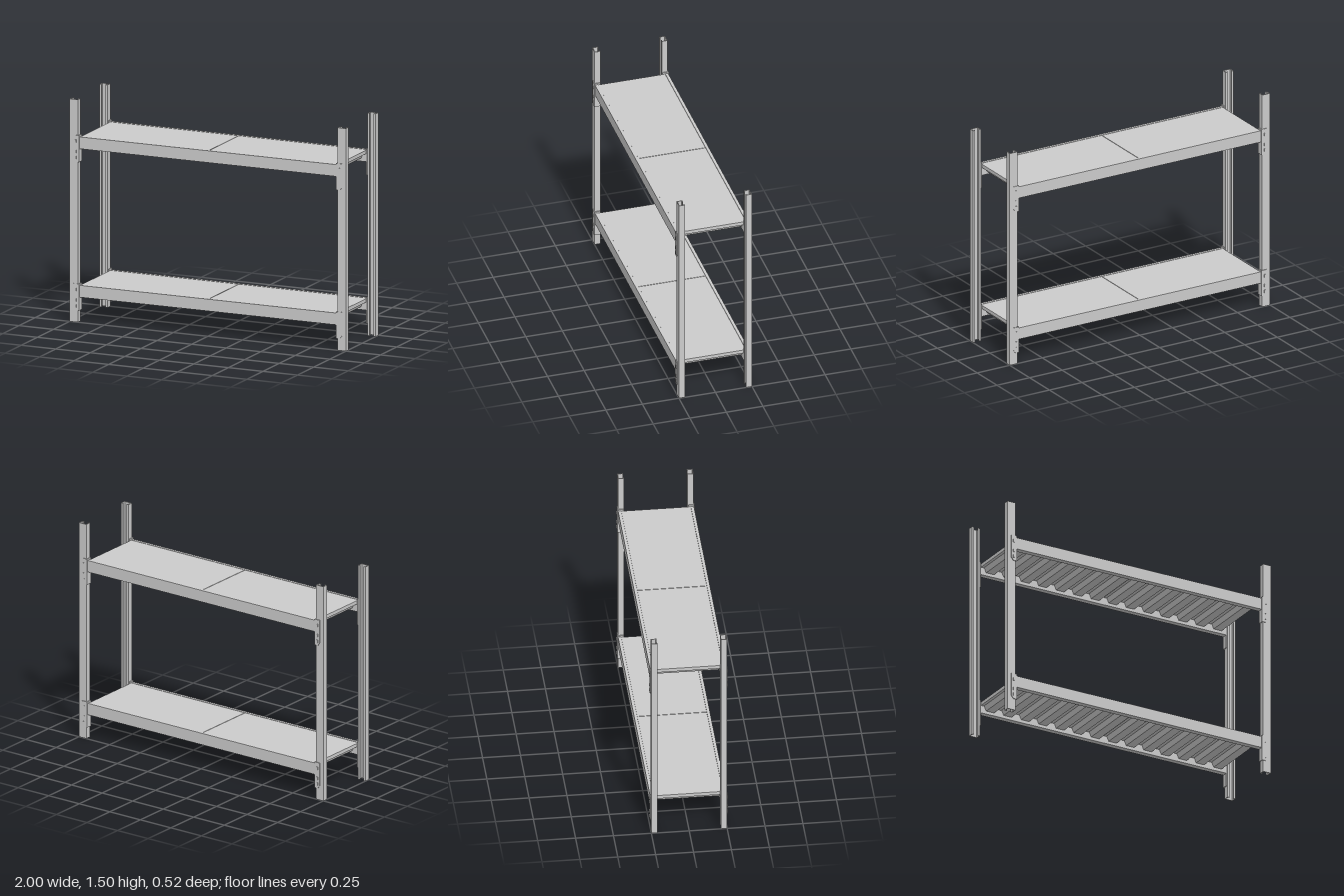
import * as THREE from 'three';

const material = new THREE.MeshStandardMaterial({ color: 0xcccccc, flatShading: true });

function add(parent, name, geometry) {
  const mesh = new THREE.Mesh(geometry, material);
  mesh.name = name;
  parent.add(mesh);
  return mesh;
}

// Box given by its lower and upper limits on each axis
function box(parent, name, [x0, x1], [y0, y1], [z0, z1]) {
  const mesh = add(parent, name, new THREE.BoxGeometry(x1 - x0, y1 - y0, z1 - z0));
  mesh.position.set((x0 + x1) / 2, (y0 + y1) / 2, (z0 + z1) / 2);
  return mesh;
}

function extrude(points, depth) {
  const shape = new THREE.Shape(points.map(([x, y]) => new THREE.Vector2(x, y)));
  return new THREE.ExtrudeGeometry(shape, { depth, bevelEnabled: false });
}

// Lipped channel upright, open towards the middle of the rack
function makePost(sx, sz) {
  const t = 0.005, lip = 0.016;
  const x0 = 0.94, x1 = 1, z0 = 0.21, z1 = 0.25;
  let outline = [
    [x0, z1], [x0, z0], [x0 + lip, z0], [x0 + lip, z0 + t], [x0 + t, z0 + t], [x0 + t, z1 - t],
    [x1 - t, z1 - t], [x1 - t, z0 + t], [x1 - lip, z0 + t], [x1 - lip, z0], [x1, z0], [x1, z1],
  ].map(([x, z]) => [x * sx, -z * sz]);
  return extrude(outline, 1.5).rotateX(-Math.PI / 2);
}

// Angle bracket that hooks a beam end onto the face of an upright
function addBracket(parent, sx, sz, top) {
  const bracket = new THREE.Group();
  bracket.name = 'beamBracket';
  const spanX = (a, b) => (sx > 0 ? [a, b] : [-b, -a]);
  const spanZ = (a, b) => (sz > 0 ? [a, b] : [-b, -a]);
  const low = top - 0.17, high = top + 0.01;
  // Face plate with a clipped lower corner
  const plate = add(bracket, 'bracketPlate', extrude(
    [[0.93, low], [0.958, low], [0.972, low + 0.02], [0.972, high], [0.93, high]]
      .map(([x, y]) => [x * sx, y]), 0.005));
  plate.position.z = sz > 0 ? 0.25 : -0.255;
  box(bracket, 'bracketFlange', spanX(0.93, 0.936), [low, high], spanZ(0.212, 0.252));
  for (const y of [0.03, 0.1, 0.14])
    box(bracket, 'bracketHook', spanX(0.95, 0.96), [top - y - 0.01, top - y + 0.01], spanZ(0.254, 0.259));
  parent.add(bracket);
}

// Stepped beam running along the x axis
function addBeam(parent, sz, top) {
  const outline = [[0.212, -0.08], [0.25, -0.08], [0.25, 0], [0.23, 0], [0.23, -0.028], [0.212, -0.028]]
    .map(([z, y]) => [-z * sz, y + top]);
  const beam = add(parent, sz > 0 ? 'frontBeam' : 'backBeam', extrude(outline, 1.86).rotateY(Math.PI / 2));
  beam.position.x = -0.93;
}

// Deck panel for one half of a shelf, with trapezoid ribs underneath
function addPanel(parent, sx, top) {
  const panel = new THREE.Group();
  panel.name = sx > 0 ? 'leftDeckPanel' : 'rightDeckPanel';
  const limits = sx > 0 ? [0.002, 0.93] : [-0.93, -0.002];
  box(panel, 'deckSheet', limits, [top - 0.026, top - 0.002], [-0.229, 0.229]);
  const count = 7, pitch = 0.93 / count;
  const rib = extrude([[-0.03, -0.06], [0.03, -0.06], [0.045, -0.026], [-0.045, -0.026]], 0.42);
  for (let i = 0; i < count; i++)
    add(panel, 'deckRib', rib).position.set(sx * (i + 0.5) * pitch, top, -0.21);
  parent.add(panel);
}

export function createModel() {
  const rack = new THREE.Group();
  rack.name = 'shelvingRack';

  // Four uprights
  for (const sx of [-1, 1])
    for (const sz of [-1, 1])
      add(rack, (sz > 0 ? 'front' : 'back') + (sx > 0 ? 'Left' : 'Right') + 'Post', makePost(sx, sz));

  // Two shelf levels
  for (const [name, top] of [['lowerShelf', 0.25], ['upperShelf', 1.25]]) {
    const shelf = new THREE.Group();
    shelf.name = name;
    for (const s of [-1, 1]) {
      addBeam(shelf, s, top);
      addPanel(shelf, s, top);
      for (const sx of [-1, 1]) addBracket(shelf, sx, s, top);
    }
    rack.add(shelf);
  }
  return rack;
}
